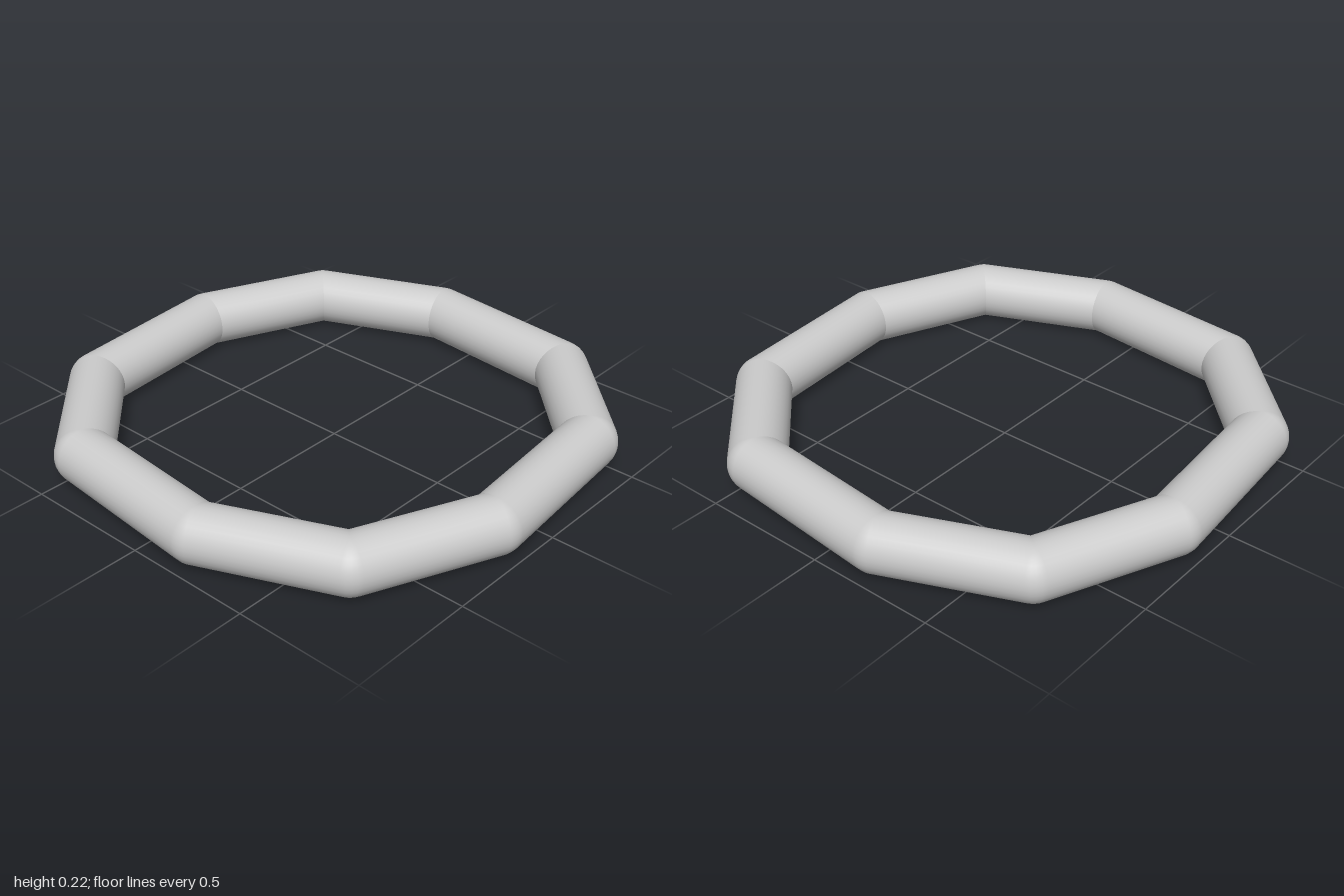
import * as THREE from 'three';

const TUBE = 0.108;   // tube radius
const HEIGHT = 0.11;  // height of the tube's centre line
const SIDES = 32;     // points around the tube
const BEND = 4;       // steps around each rounded elbow

// Five corners (x, z); the other five are their opposites.
const half = [[0.45, -0.834], [0.834, -0.45], [0.892, 0.193], [0.68, 0.68], [0.193, 0.892]];
const corners = [...half, ...half.map(([x, z]) => [-x, -z])];

function createRingGeometry() {
  const positions = [], normals = [], index = [];
  const count = corners.length;
  const heading = (i) => {
    const a = corners[i % count], b = corners[(i + 1) % count];
    return Math.atan2(b[1] - a[1], b[0] - a[0]);
  };

  corners.forEach(([cx, cz], i) => {
    const start = heading(i + count - 1);
    let turn = heading(i) - start;
    if (turn < 0) turn += Math.PI * 2;
    const mitre = start + turn / 2 - Math.PI / 2;

    // Rounded on the outside of the bend, mitred to a crease on the inside.
    for (let k = 0; k <= BEND; k++) {
      const out = start + turn * k / BEND - Math.PI / 2;
      for (let j = 0; j < SIDES; j++) {
        const a = j / SIDES * Math.PI * 2;
        const c = Math.cos(a), s = Math.sin(a);
        const dir = c < 0 ? mitre : out;
        const reach = TUBE * c / (c < 0 ? Math.cos(turn / 2) : 1);
        positions.push(cx + Math.cos(dir) * reach, HEIGHT + TUBE * s, cz + Math.sin(dir) * reach);
        normals.push(Math.cos(out) * c, s, Math.sin(out) * c);
      }
    }
  });

  // Join neighbouring rings, closing the loop.
  const rings = count * (BEND + 1);
  for (let i = 0; i < rings; i++) {
    const r0 = i * SIDES, r1 = ((i + 1) % rings) * SIDES;
    for (let j = 0; j < SIDES; j++) {
      const n = (j + 1) % SIDES;
      index.push(r0 + j, r0 + n, r1 + j, r0 + n, r1 + n, r1 + j);
    }
  }

  const geometry = new THREE.BufferGeometry();
  geometry.setAttribute('position', new THREE.Float32BufferAttribute(positions, 3));
  geometry.setAttribute('normal', new THREE.Float32BufferAttribute(normals, 3));
  geometry.setIndex(index);
  return geometry;
}

export function createModel() {
  const model = new THREE.Group();
  model.name = 'tenSidedTubeRing';
  const ring = new THREE.Mesh(createRingGeometry(), new THREE.MeshStandardMaterial({ color: 0xcccccc }));
  ring.name = 'tubeRing';
  model.add(ring);
  return model;
}
